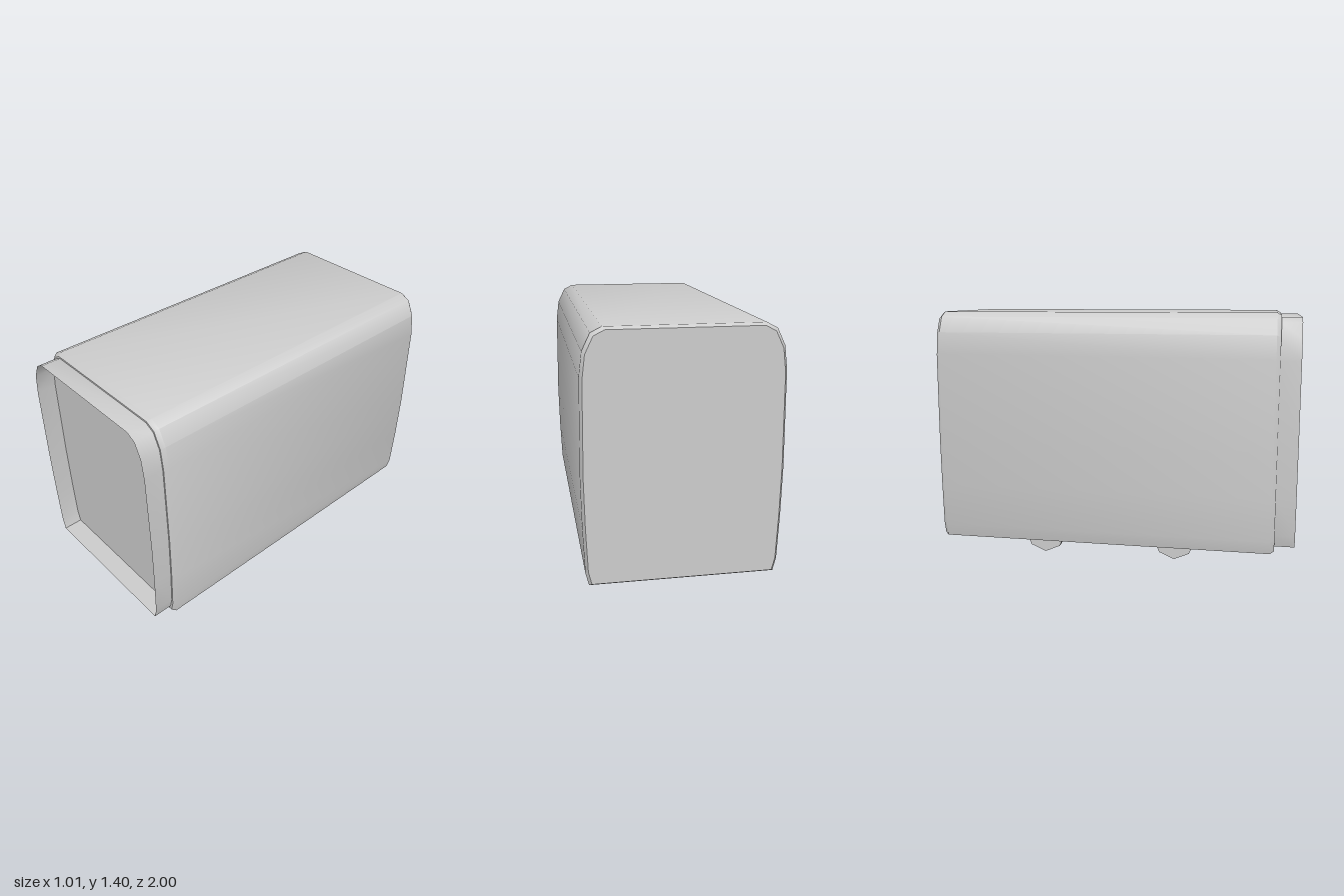
import * as THREE from 'three';
import { toCreasedNormals } from 'three/addons/utils/BufferGeometryUtils.js';

// Right half of the body's cross-section, bottom to top
const HALF = [
  [0.475, 0.112], [0.492, 0.18], [0.502, 0.42], [0.507, 0.68],
  [0.501, 1.17], [0.486, 1.29], [0.445, 1.375], [0.39, 1.403],
];
const PROFILE = [...HALF, ...HALF.slice().reverse().map(([x, y]) => [-x, y])];
const MID_Y = 0.7575;

// Joins scaled copies of the cross-section along z; each ring is [z, scaleX, scaleY, midY]
function loft(rings, capped) {
  const n = PROFILE.length;
  const positions = [];
  const indices = [];
  for (const [z, sx, sy, midY] of rings) {
    for (const [x, y] of PROFILE) positions.push(x * sx, midY + (y - MID_Y) * sy, z);
  }
  for (let i = 0; i < rings.length - 1; i++) {
    for (let j = 0; j < n; j++) {
      const k = (j + 1) % n;
      const a = i * n + j, b = i * n + k, c = b + n, d = a + n;
      indices.push(a, b, c, a, c, d);
    }
  }
  if (capped) {
    const f = (rings.length - 1) * n;
    for (let j = 1; j < n - 1; j++) indices.push(0, j + 1, j, f, f + j, f + j + 1);
  }
  const geometry = new THREE.BufferGeometry();
  geometry.setAttribute('position', new THREE.Float32BufferAttribute(positions, 3));
  geometry.setIndex(indices);
  return toCreasedNormals(geometry, 0.66);
}

export function createModel() {
  const group = new THREE.Group();
  const grey = new THREE.MeshStandardMaterial({ color: 0xcccccc, side: THREE.DoubleSide });
  grey.name = 'light grey';

  const add = (name, geometry, x = 0, y = 0, z = 0) => {
    const mesh = new THREE.Mesh(geometry, grey);
    mesh.name = name;
    mesh.position.set(x, y, z);
    group.add(mesh);
    return mesh;
  };

  // Long body with softly bevelled ends
  add('body', loft([
    [-1, 0.972, 0.98, MID_Y],
    [-0.98, 1, 1, MID_Y],
    [0.87, 1, 1, MID_Y],
    [0.892, 0.972, 0.98, MID_Y],
  ], true));

  // Open thin collar around the front end
  add('frontCollar', loft([
    [0.885, 0.957, 0.953, 0.766],
    [1, 0.957, 0.953, 0.766],
  ], false));

  // Lower part of a faceted wheel, drawn in the z-y plane
  const wheelShape = new THREE.Shape([
    [-0.118, 0.125], [-0.115, 0.105], [-0.086, 0.037], [0, 0],
    [0.086, 0.037], [0.115, 0.105], [0.118, 0.125],
  ].map(([z, y]) => new THREE.Vector2(z, y)));
  const wheelGeometry = new THREE.ExtrudeGeometry(wheelShape, { depth: 0.04, bevelEnabled: false });
  wheelGeometry.translate(0, 0, -0.02);
  wheelGeometry.rotateY(Math.PI / 2);

  for (const side of [-1, 1]) {
    const sideName = side > 0 ? 'left' : 'right';
    add(sideName + 'FrontWheel', wheelGeometry, side * 0.319, 0, 0.332);
    add(sideName + 'RearWheel', wheelGeometry, side * 0.319, 0, -0.432);
    // Shallow rail beside the wheels
    add(sideName + 'Rail', new THREE.BoxGeometry(0.045, 0.012, 0.98), side * 0.361, 0.114, -0.05);
  }

  return group;
}
